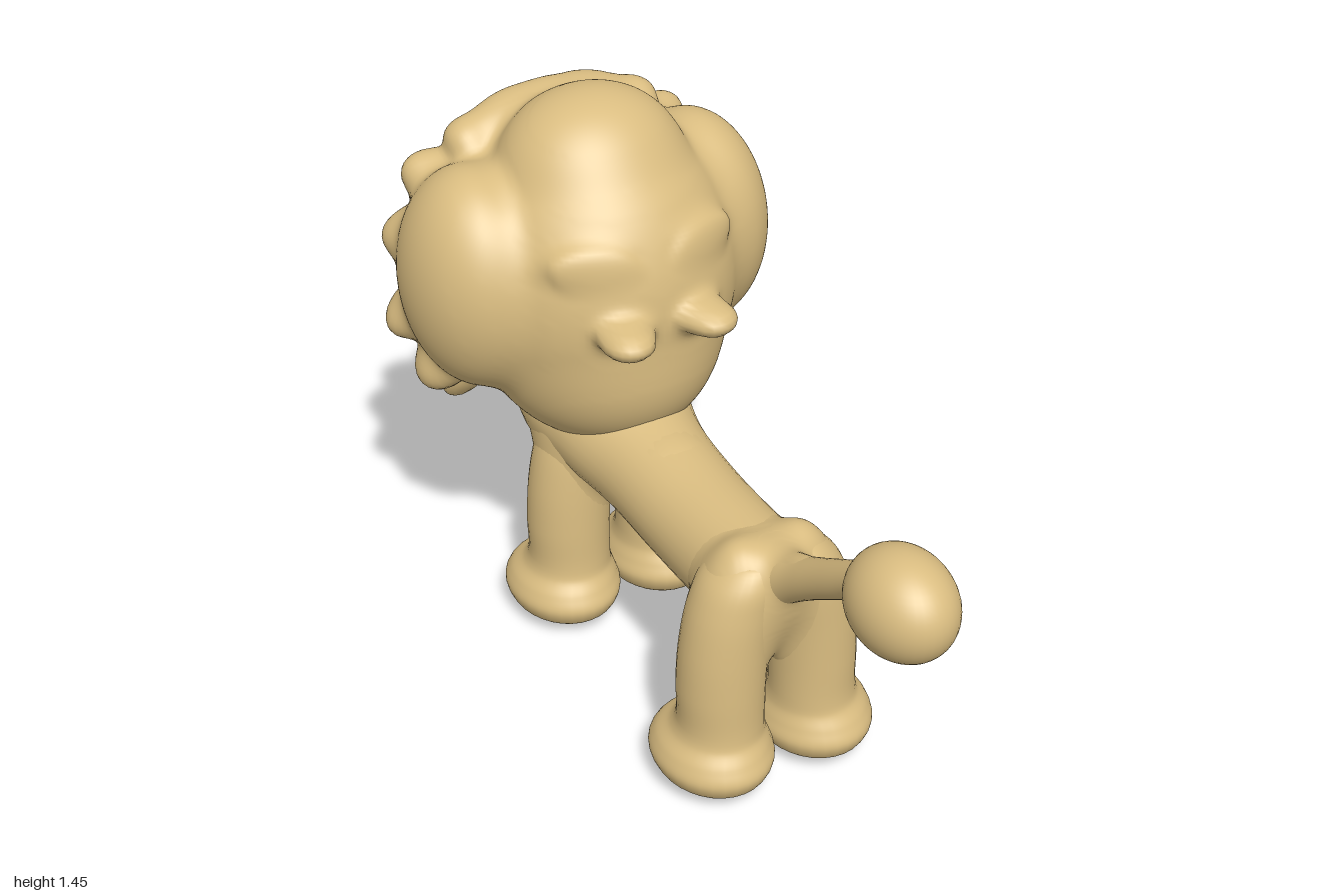
import * as THREE from 'three';
import { mergeVertices } from 'three/addons/utils/BufferGeometryUtils.js';

const sand = new THREE.MeshStandardMaterial({ color: 0xdabd81 });
sand.name = 'sand';

// Smooth closed skin along +z through sections [z, x, y, rx, ry]
function loft(sections, steps = 6, sides = 32) {
  const centres = new THREE.CatmullRomCurve3(sections.map(s => new THREE.Vector3(s[1], s[2], s[0])));
  const radii = new THREE.CatmullRomCurve3(sections.map(s => new THREE.Vector3(s[3], s[4], s[0])));
  const rings = (sections.length - 1) * steps;
  const pos = [], index = [];
  for (let i = 0; i <= rings; i++) {
    const c = centres.getPoint(i / rings), r = radii.getPoint(i / rings);
    for (let j = 0; j < sides; j++) {
      const a = (j / sides) * Math.PI * 2;
      pos.push(c.x + Math.cos(a) * Math.max(r.x, 0), c.y + Math.sin(a) * Math.max(r.y, 0), c.z);
      if (i === rings) continue;
      const p = i * sides + j, q = i * sides + (j + 1) % sides;
      index.push(p, q, p + sides, q, q + sides, p + sides);
    }
  }
  let g = new THREE.BufferGeometry();
  g.setAttribute('position', new THREE.Float32BufferAttribute(pos, 3));
  g.setIndex(index);
  g = mergeVertices(g, 1e-5);
  g.computeVertexNormals();
  return g;
}

// Loft standing upright: sections [y, x, z, rx, rz]
const upright = sections =>
  loft(sections.map(([y, x, z, rx, rz]) => [y, x, -z, rx, rz])).rotateX(-Math.PI / 2);

// Sphere whose vertices are drawn in to the softly blended skin of ellipsoids [centre, radii, rotation]
function blend(centre, ellipsoids, softness, detail) {
  const shapes = ellipsoids.map(([c, r, rot = [0, 0, 0]]) => ({
    inverse: new THREE.Matrix4().makeRotationFromEuler(new THREE.Euler(...rot)).setPosition(...c).invert(),
    radii: new THREE.Vector3(...r),
  }));
  const q = new THREE.Vector3();
  const distance = p => {
    let d = 10;
    for (const { inverse, radii } of shapes) {
      q.copy(p).applyMatrix4(inverse).divide(radii);
      const k = q.length();
      const e = k * (k - 1) / Math.max(q.divide(radii).length(), 1e-6);
      const h = Math.max(softness - Math.abs(d - e), 0) / softness;
      d = Math.min(d, e) - h * h * softness / 4;
    }
    return d;
  };
  let g = new THREE.SphereGeometry(1, detail, Math.round(detail * 0.7));
  g.deleteAttribute('uv');
  g.deleteAttribute('normal');
  g = mergeVertices(g, 1e-5);
  const pos = g.attributes.position, dir = new THREE.Vector3(), p = new THREE.Vector3();
  for (let i = 0; i < pos.count; i++) {
    dir.fromBufferAttribute(pos, i).normalize();
    let t = 0.8;
    for (let n = 0; n < 60; n++) {
      const d = distance(p.copy(centre).addScaledVector(dir, t));
      if (d < 0.0005) break;
      t -= d * 0.7;
    }
    pos.setXYZ(i, p.x, p.y, p.z);
  }
  g.computeVertexNormals();
  return g;
}

export function createModel() {
  const model = new THREE.Group();
  model.name = 'lion';

  const add = (name, geometry) => {
    const mesh = new THREE.Mesh(geometry, sand);
    mesh.name = name;
    model.add(mesh);
    return mesh;
  };

  // Body with a round chest
  add('body', loft([
    [-0.74, 0, 0.71, 0, 0], [-0.72, 0, 0.7, 0.09, 0.08], [-0.62, 0, 0.665, 0.18, 0.175],
    [-0.5, 0, 0.63, 0.21, 0.2], [-0.35, 0, 0.59, 0.185, 0.168], [-0.2, 0, 0.555, 0.15, 0.147],
    [0, 0, 0.53, 0.14, 0.138], [0.2, 0, 0.525, 0.138, 0.135], [0.33, 0, 0.535, 0.14, 0.125],
    [0.41, 0, 0.56, 0.1, 0.1], [0.445, 0, 0.575, 0.055, 0.06], [0.455, 0, 0.58, 0, 0],
  ]));

  // Rump and shoulders, softening the joints of legs, tail and body
  const thighs = z => [1, -1].map(s => [[0.112 * s, 0.4, z], [0.098, 0.27, 0.1], [0, 0, 0.12 * s]]);
  add('rump', blend(new THREE.Vector3(0, 0.53, 0.32), [
    [[0, 0.53, 0.12], [0.132, 0.128, 0.3]], [[0, 0.64, 0.46], [0.04, 0.05, 0.13], [-0.53, 0, 0]], ...thighs(0.337),
  ], 0.1, 96));
  add('shoulders', blend(new THREE.Vector3(0, 0.56, -0.43), [
    [[0, 0.6, -0.47], [0.19, 0.18, 0.22]], [[0, 0.55, -0.15], [0.135, 0.135, 0.25]], ...thighs(-0.422),
  ], 0.08, 96));

  // Tail and its round tuft
  add('tail', loft([
    [0.28, 0, 0.54, 0, 0], [0.33, 0, 0.55, 0.11, 0.1], [0.4, 0, 0.585, 0.075, 0.085],
    [0.46, 0, 0.625, 0.054, 0.066], [0.53, 0, 0.672, 0.046, 0.058], [0.62, 0, 0.73, 0.043, 0.054],
    [0.7, 0, 0.78, 0.045, 0.052], [0.78, 0, 0.82, 0.06, 0.06],
  ]));
  const tuft = add('tailTuft', new THREE.SphereGeometry(1, 40, 28));
  tuft.position.set(0, 0.827, 0.857);
  tuft.scale.set(0.115, 0.125, 0.145);

  // Legs with broad, round-soled feet
  for (const s of [1, -1]) {
    for (const [name, z] of [['rearLeg', 0.34], ['frontLeg', -0.425]]) {
      add(name, upright([
        [0, 0.14, -0.02, 0, 0], [0.006, 0.14, -0.02, 0.052, 0.062], [0.022, 0.14, -0.02, 0.096, 0.115],
        [0.05, 0.14, -0.02, 0.131, 0.156], [0.09, 0.14, -0.02, 0.145, 0.172],
        [0.13, 0.138, -0.018, 0.133, 0.153], [0.165, 0.131, -0.008, 0.113, 0.121],
        [0.2, 0.128, 0, 0.106, 0.108], [0.3, 0.127, 0, 0.107, 0.107], [0.42, 0.118, 0, 0.107, 0.106],
        [0.53, 0.097, 0, 0.104, 0.104], [0.6, 0.075, 0, 0.092, 0.097], [0.645, 0.055, 0, 0.06, 0.07],
        [0.655, 0.045, 0, 0, 0],
      ].map(([y, x, ...rest]) => [y, x * s, ...rest]))).position.z = z;
    }
  }

  // Head: skull, jaw, crown, mane, face, then mirrored lobes, nubs, brows and mane curls
  const parts = [
    [[0, 0.98, -0.48], [0.35, 0.4, 0.343]],
    [[0, 0.8, -0.46], [0.285, 0.255, 0.312]],
    [[0, 1.28, -0.49], [0.22, 0.165, 0.195]],
    [[0, 1.0, -0.65], [0.37, 0.34, 0.18]],
    [[0, 0.76, -0.72], [0.2, 0.1, 0.12]],
    [[0, 1.0, -0.79], [0.262, 0.25, 0.195], [0.38, 0, 0]],
  ];
  for (const s of [1, -1]) {
    parts.push(
      [[0.3 * s, 1.01, -0.53], [0.182, 0.285, 0.225]],
      [[0.11 * s, 0.982, -0.115], [0.065, 0.038, 0.07], [0, 0.1 * s, 0]],
      [[0.16 * s, 1.145, -0.22], [0.08, 0.035, 0.018], [0, 0.35 * s, 0]],
      [[0.235 * s, 1.29, -0.69], [0.05, 0.045, 0.055]],
      [[0.1 * s, 1.33, -0.7], [0.12, 0.05, 0.06], [0, 0, -0.2 * s]],
      [[0.3 * s, 1.19, -0.73], [0.09, 0.065, 0.06], [0, 0, 0.4 * s]],
      [[0.35 * s, 1.05, -0.725], [0.1, 0.065, 0.08]],
      [[0.375 * s, 0.87, -0.69], [0.105, 0.065, 0.075], [0, 0, -0.5 * s]],
      [[0.335 * s, 0.745, -0.64], [0.105, 0.07, 0.08], [0, 0, -0.8 * s]],
    );
  }
  add('head', blend(new THREE.Vector3(0, 0.97, -0.57), parts, 0.05, 192));

  // Beard petal: swells from the root and ends in a blunt tip
  const petal = (root, tip, width, thickness) => {
    const a = new THREE.Vector3(...root), b = new THREE.Vector3(...tip), d = a.distanceTo(b);
    const mesh = add('beardPetal', loft([
      [0, 0, 0, 0, 0], [0.06, 0, 0, 0.55, 0.6], [0.35, 0, 0, 0.9, 1], [0.68, 0, 0, 1, 1],
      [0.88, 0, 0, 0.8, 0.75], [0.97, 0, 0, 0.45, 0.4], [1, 0, 0, 0, 0],
    ].map(([z, x, y, rx, ry]) => [z * d, x, y, rx * width, ry * thickness]), 4, 20));
    mesh.position.copy(a);
    mesh.lookAt(b);
  };
  petal([0, 0.8, -0.7], [0, 0.535, -0.88], 0.11, 0.05);
  for (const s of [1, -1]) {
    petal([0.06 * s, 0.8, -0.7], [0.1 * s, 0.525, -0.885], 0.1, 0.05);
    petal([0.16 * s, 0.8, -0.65], [0.265 * s, 0.535, -0.79], 0.095, 0.055);
  }
  return model;
}
